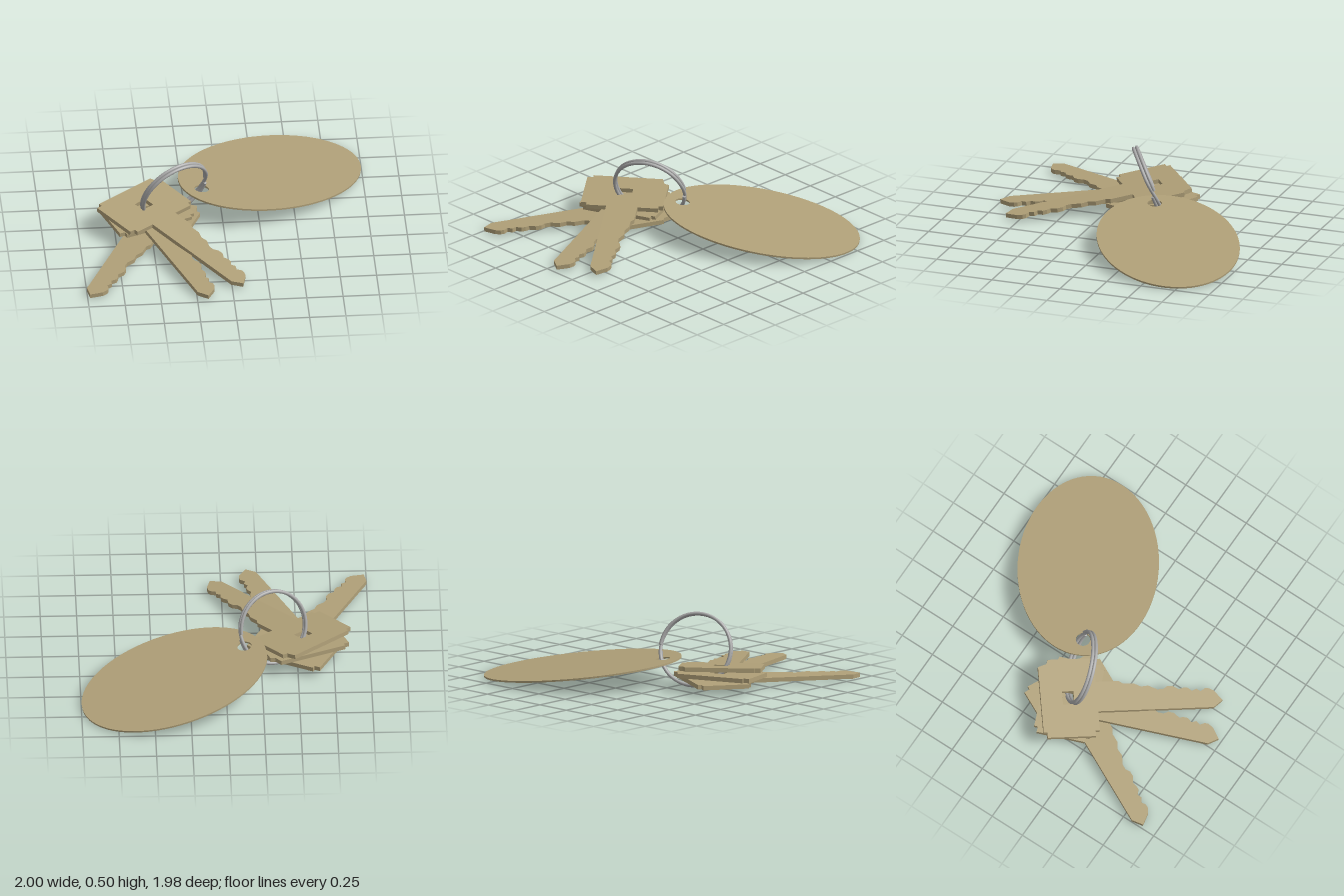
import * as THREE from 'three';

const brass = new THREE.MeshStandardMaterial({ color: 0xb0a078 });
const steel = new THREE.MeshStandardMaterial({ color: 0xaaaaaa });

const toPath = (PathType, points) => new PathType(points.map(([x, y]) => new THREE.Vector2(x, y)));

// Flat plate cut from a shape, centred on its own thickness
function plate(name, shape, depth, curveSegments = 12) {
  const geometry = new THREE.ExtrudeGeometry(shape, { depth, bevelEnabled: false, curveSegments });
  geometry.translate(0, 0, -depth / 2);
  const mesh = new THREE.Mesh(geometry, brass);
  mesh.name = name;
  return mesh;
}

// Turns an object so its local x, y and z follow the given axes
function place(object, xAxis, yAxis, position) {
  const zAxis = new THREE.Vector3().crossVectors(xAxis, yAxis);
  object.quaternion.setFromRotationMatrix(new THREE.Matrix4().makeBasis(xAxis, yAxis, zAxis));
  object.position.copy(position);
  return object;
}

// Key outline: x across, y along the blade, origin at the ring hole
function keyShape() {
  const shape = toPath(THREE.Shape, [
    // head with stepped corners
    [-0.29, -0.165], [-0.25, -0.165], [-0.25, -0.19], [0.23, -0.19], [0.25, -0.13], [0.28, -0.12],
    [0.28, 0.17], [0.25, 0.17], [0.25, 0.2], [0.106, 0.2],
    // toothed edge
    [0.106, 0.36], [0.085, 0.39], [0.085, 0.46], [0.06, 0.51], [0.065, 0.56], [0.035, 0.62],
    [0.035, 0.66], [0.055, 0.69], [0.055, 0.73], [0.03, 0.77], [0.04, 0.8], [0.04, 0.83],
    [0.015, 0.86], [0.03, 0.89], [0.01, 0.92], [0.03, 0.95], [0.03, 0.975],
    // tip and straight edge
    [0.012, 1.01], [-0.06, 1.066], [-0.11, 1.0], [-0.11, 0.2],
    [-0.25, 0.2], [-0.25, 0.17], [-0.29, 0.17],
  ]);
  shape.holes.push(toPath(THREE.Path, [[-0.053, -0.04], [-0.053, 0.04], [0.045, 0.04], [0.045, -0.04]]));
  return shape;
}

// Key pointing along (dx, dz), falling by slope per unit of length
function key(name, dx, dz, slope, x, y, z) {
  const along = new THREE.Vector3(dx, -slope, dz).normalize();
  const across = new THREE.Vector3(dz, 0, -dx).normalize();
  return place(plate(name, keyShape(), 0.03), across, along, new THREE.Vector3(x, y, z));
}

// Oval tag with a hole near one end, leaning on the keys
function tag() {
  const shape = new THREE.Shape();
  shape.absellipse(0, 0, 0.693, 0.485, 0, Math.PI * 2);
  const hole = new THREE.Path();
  hole.absarc(-0.571, 0, 0.05, 0, Math.PI * 2, true);
  shape.holes.push(hole);
  const normal = new THREE.Vector3(0.111, 1, -0.063).normalize();
  const major = new THREE.Vector3(0.863, 0, -0.505).projectOnPlane(normal).normalize();
  const minor = new THREE.Vector3().crossVectors(normal, major);
  return place(plate('tag', shape, 0.012, 36), major, minor, new THREE.Vector3(0.355, 0.097, -0.455));
}

// Split ring: one wire wound twice, stepping sideways between the turns
class SplitRingCurve extends THREE.Curve {
  getPoint(t, target = new THREE.Vector3()) {
    const angle = 0.08 + t * (Math.PI * 4 - 0.16);
    const side = THREE.MathUtils.smoothstep(t, 0.46, 0.54) * 2 - 1;
    return target.set(0.25 * Math.cos(angle), 0.25 * Math.sin(angle), 0.012 * side);
  }
}

function ring() {
  const group = new THREE.Group();
  group.name = 'splitRing';
  const curve = new SplitRingCurve();
  const wire = new THREE.Mesh(new THREE.TubeGeometry(curve, 128, 0.012, 10), steel);
  wire.name = 'ringWire';
  group.add(wire);
  // wire ends
  for (const t of [0, 1]) {
    const cap = new THREE.Mesh(new THREE.CircleGeometry(0.012, 10), steel);
    cap.name = 'wireEnd';
    const end = curve.getPoint(t);
    const outward = curve.getTangent(t).multiplyScalar(t ? 1 : -1);
    cap.position.copy(end);
    cap.lookAt(end.clone().add(outward));
    group.add(cap);
  }
  const normal = new THREE.Vector3(0.44, -0.354, 0.823).normalize();
  const up = new THREE.Vector3(0, 1, 0).projectOnPlane(normal).normalize();
  const side = new THREE.Vector3().crossVectors(up, normal);
  return place(group, side, up, new THREE.Vector3(-0.332, 0.25, -0.05));
}

export function createModel() {
  const model = new THREE.Group();
  model.name = 'keyRing';
  model.add(
    key('topKey', 0.625, 0.78, 0.118, -0.54, 0.15, -0.02),
    key('middleKey', 0.382, 0.924, 0.068, -0.525, 0.098, -0.026),
    key('bottomKey', -0.44, 0.898, 0.036, -0.461, 0.06, -0.03),
    tag(),
    ring(),
  );
  return model;
}
